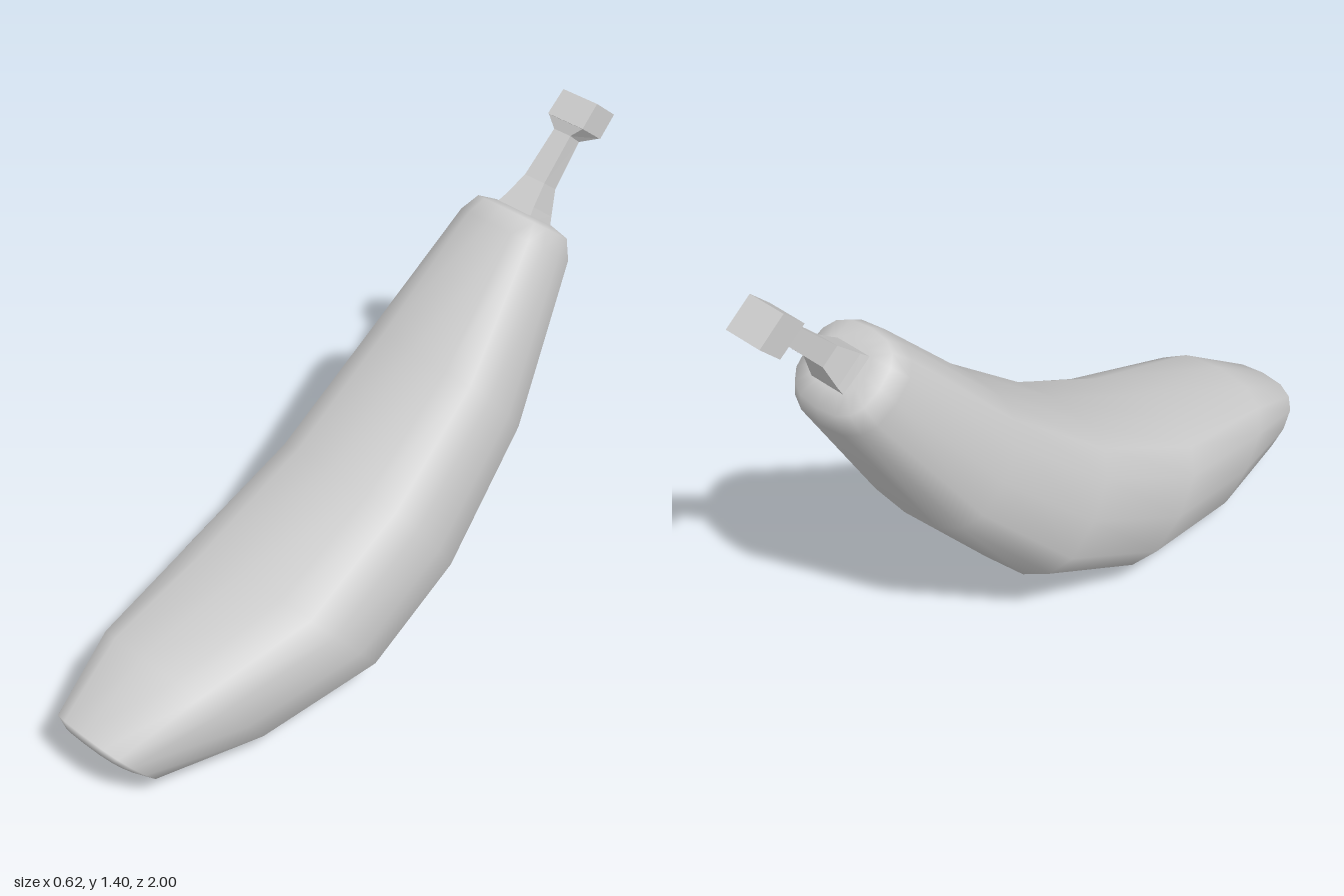
import * as THREE from 'three';
import { mergeVertices } from 'three/addons/utils/BufferGeometryUtils.js';

const grey = new THREE.MeshStandardMaterial({ color: 0xcccccc });
const greyFlat = new THREE.MeshStandardMaterial({ color: 0xcccccc, flatShading: true });

// Skins a row of superellipse rings. Each station: [topZ, topY, bottomZ, bottomY, halfWidth]
function loft(stations, sides, exponent, turn = 0) {
  const pos = [], index = [];
  const power = (v) => Math.sign(v) * Math.abs(v) ** (2 / exponent);
  stations.forEach(([zt, yt, zb, yb, w], i) => {
    for (let j = 0; j < sides; j++) {
      const a = turn + (j / sides) * Math.PI * 2;
      const t = (1 + power(Math.sin(a))) / 2;
      pos.push(w * power(Math.cos(a)), yb + (yt - yb) * t, zb + (zt - zb) * t);
      if (i === stations.length - 1) continue;
      const k = (j + 1) % sides, r = i * sides, s = r + sides;
      index.push(r + j, s + j, r + k, s + j, s + k, r + k);
    }
  });
  let geo = new THREE.BufferGeometry();
  geo.setAttribute('position', new THREE.Float32BufferAttribute(pos, 3));
  geo.setIndex(index);
  geo = mergeVertices(geo);
  geo.computeVertexNormals();
  return geo;
}

function part(name, geo, material) {
  const mesh = new THREE.Mesh(geo, material);
  mesh.name = name;
  return mesh;
}

export function createModel() {
  const group = new THREE.Group();
  group.name = 'banana';

  // Curved fruit: dished blossom end, six body rings, rounded shoulder
  group.add(part('fruit', loft([
    [0.90, 0.15, 0.90, 0.15, 0],
    [0.935, 0.18, 0.875, 0.11, 0.07],
    [0.995, 0.205, 0.87, 0.07, 0.12],
    [1.00, 0.24, 0.84, 0.05, 0.158],
    [0.78, 0.37, 0.49, 0.005, 0.247],
    [0.42, 0.45, 0.11, 0.065, 0.31],
    [0.07, 0.62, -0.21, 0.21, 0.285],
    [-0.25, 0.86, -0.51, 0.54, 0.25],
    [-0.55, 1.15, -0.78, 0.97, 0.163],
    [-0.60, 1.18, -0.79, 1.03, 0.135],
    [-0.645, 1.16, -0.755, 1.075, 0.085],
    [-0.70, 1.11, -0.70, 1.11, 0],
  ], 16, 2.7), grey));

  // Square stem, wide at the foot and flaring under the tip
  group.add(part('stem', loft([
    [-0.645, 1.14, -0.74, 1.06, 0.065],
    [-0.68, 1.165, -0.76, 1.10, 0.052],
    [-0.74, 1.21, -0.79, 1.17, 0.036],
    [-0.85, 1.315, -0.89, 1.28, 0.03],
    [-0.862, 1.345, -0.942, 1.283, 0.062],
  ], 4, 1000, Math.PI / 4), greyFlat));

  // Cut block at the end of the stem
  group.add(part('stemTip', loft([
    [-0.90, 1.315, -0.90, 1.315, 0],
    [-0.86, 1.347, -0.942, 1.282, 0.064],
    [-0.92, 1.402, -1.00, 1.337, 0.062],
    [-0.96, 1.37, -0.96, 1.37, 0],
  ], 4, 1000, Math.PI / 4), greyFlat));

  return group;
}
